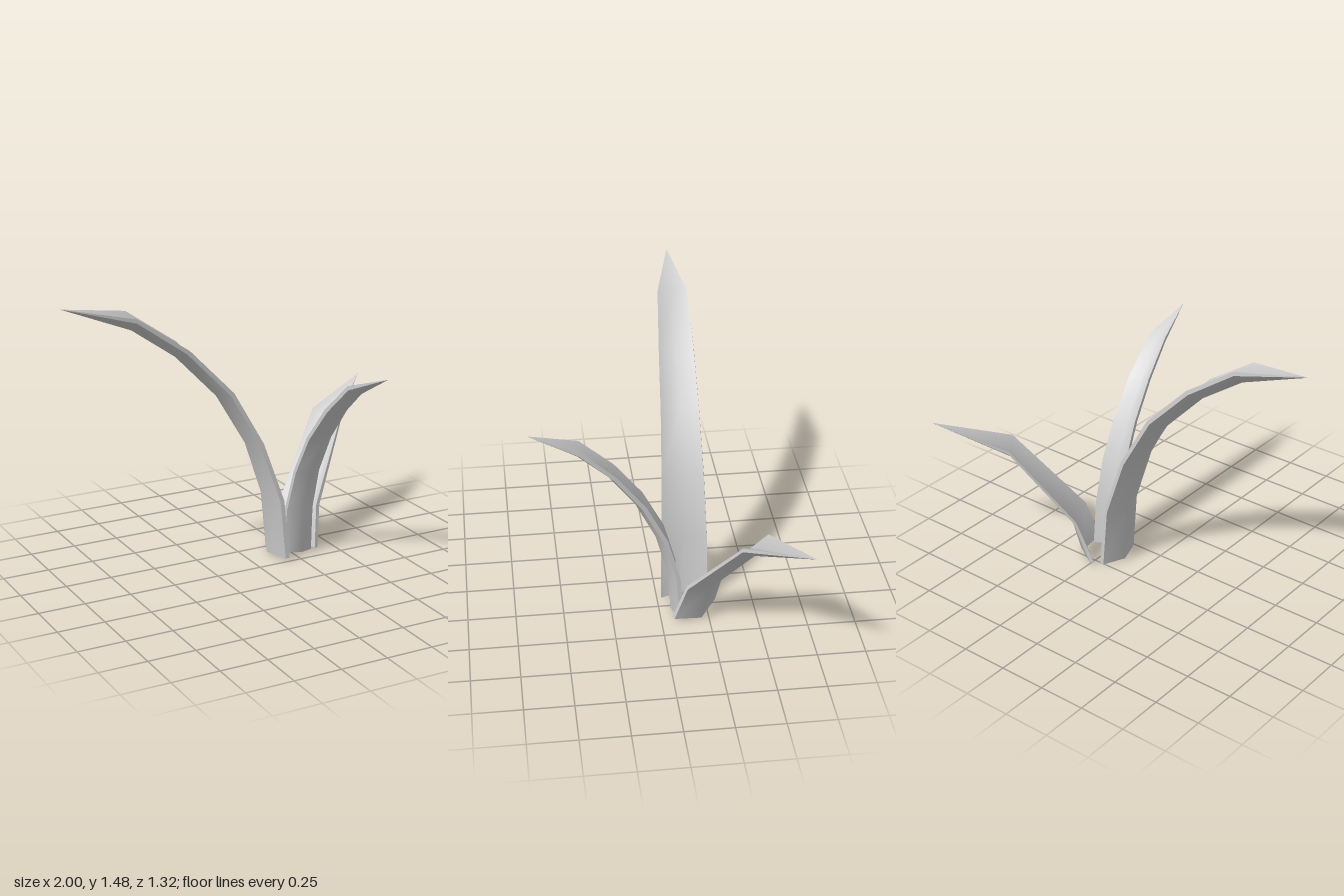
import * as THREE from 'three';
import { mergeGeometries, mergeVertices } from 'three/addons/utils/BufferGeometryUtils.js';

const THICK = 0.022;
const material = new THREE.MeshStandardMaterial({ color: 0xcccccc, side: THREE.DoubleSide });

// Smooth sheet through rows of points (columns run left to right, rows upwards)
function sheet(rows) {
  const cols = rows[0].length, index = [];
  for (let r = 0; r < rows.length - 1; r++) {
    for (let c = 0; c < cols - 1; c++) {
      const a = r * cols + c, d = a + cols;
      index.push(a, a + 1, d + 1, a, d + 1, d);
    }
  }
  const g = new THREE.BufferGeometry().setFromPoints(rows.flat());
  g.setIndex(index);
  const welded = mergeVertices(g, 1e-5);
  welded.computeVertexNormals();
  return welded;
}

// Folded leaf: each section is [left edge, outer keel, right edge]; all sections close at the tip
function leaf(name, sections, tip) {
  const end = new THREE.Vector3(...tip);
  const inner = [], outer = [];
  sections.forEach((section, i) => {
    const [l, s, r] = section.map((p) => new THREE.Vector3(...p));
    const n = l.clone().add(r).multiplyScalar(0.5).sub(s).normalize();
    const keel = i === sections.length - 1 ? 2 * THICK : THICK;
    inner.push([l, s.clone().addScaledVector(n, keel), r]);
    outer.push([l.clone().addScaledVector(n, -THICK), s, r.clone().addScaledVector(n, -THICK)]);
  });
  const cap = sheet([outer[0], inner[0]]);
  inner.push([end, end, end]);
  outer.push([end, end, end]);
  const geometry = mergeGeometries([
    sheet(inner),
    sheet(outer.map(([l, s, r]) => [r, s, l])),
    sheet(inner.map((p, i) => [p[2], outer[i][2]])),
    sheet(inner.map((p, i) => [outer[i][0], p[0]])),
    cap,
  ]);
  const mesh = new THREE.Mesh(geometry, material);
  mesh.name = name;
  return mesh;
}

export function createModel() {
  const group = new THREE.Group();
  group.name = 'plant';

  // Tall leaf arching to the right
  group.add(leaf('tallLeaf', [
    [[0.19, 0.01, -0.02], [0.125, 0.01, -0.15], [0.2, 0.01, -0.265]],
    [[0.16, 0.34, -0.025], [0.095, 0.34, -0.155], [0.168, 0.35, -0.265]],
    [[0.045, 0.67, -0.04], [-0.005, 0.65, -0.16], [0.057, 0.68, -0.258]],
    [[-0.12, 0.965, -0.055], [-0.17, 0.93, -0.165], [-0.11, 0.975, -0.253]],
    [[-0.36, 1.215, -0.073], [-0.395, 1.165, -0.175], [-0.35, 1.222, -0.253]],
    [[-0.635, 1.405, -0.1], [-0.63, 1.33, -0.183], [-0.63, 1.415, -0.253]],
  ], [-1, 1.477, -0.193]));

  // Medium leaf arching to the front
  group.add(leaf('frontLeaf', [
    [[0.368, 0.0, -0.12], [0.285, 0.01, -0.06], [0.2, 0.02, -0.105]],
    [[0.363, 0.255, -0.1], [0.285, 0.25, -0.04], [0.202, 0.26, -0.095]],
    [[0.364, 0.49, -0.035], [0.293, 0.475, 0.02], [0.218, 0.495, -0.03]],
    [[0.369, 0.705, 0.075], [0.305, 0.69, 0.125], [0.233, 0.71, 0.08]],
    [[0.376, 0.895, 0.22], [0.32, 0.87, 0.26], [0.253, 0.9, 0.225]],
    [[0.386, 1.06, 0.4], [0.335, 1.01, 0.412], [0.28, 1.065, 0.4]],
  ], [0.352, 1.152, 0.655]));

  // Short leaf leaning to the back left
  group.add(leaf('backLeaf', [
    [[0.22, 0.02, -0.295], [0.38, 0.005, -0.21], [0.37, 0.02, -0.06]],
    [[0.31, 0.25, -0.325], [0.43, 0.22, -0.235], [0.415, 0.24, -0.125]],
    [[0.605, 0.66, -0.5], [0.66, 0.575, -0.425], [0.71, 0.66, -0.357]],
  ], [0.995, 0.768, -0.66]));

  return group;
}
